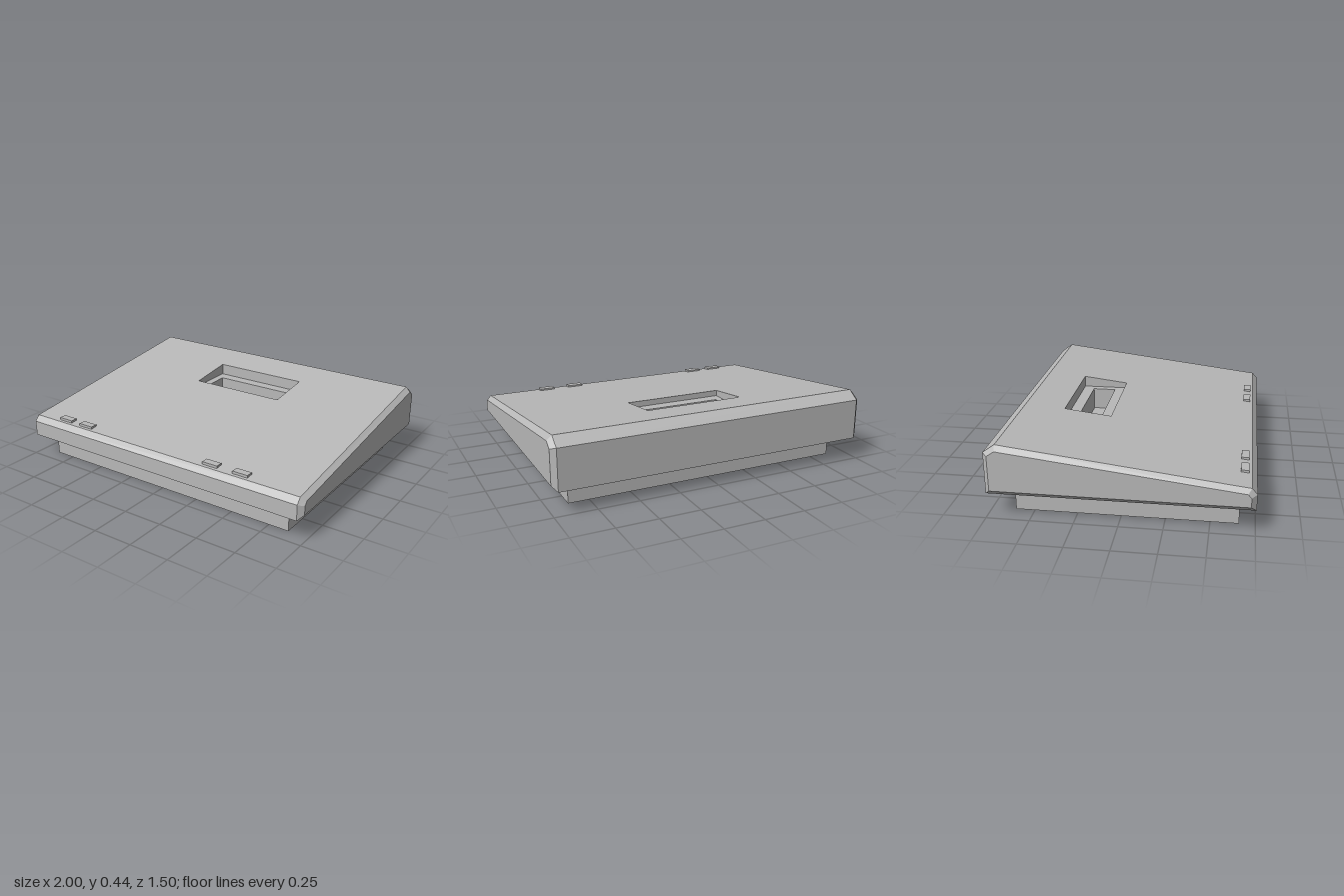
import * as THREE from 'three';

const V = (x, y, z) => new THREE.Vector3(x, y, z);

// Flat-faced skin between equal-sized loops, with optional end caps and skipped faces
function loft(loops, { startCap = false, endCap = false, skip = () => false } = {}) {
  const pos = [];
  const tri = (...pts) => pts.forEach(p => pos.push(p.x, p.y, p.z));
  const n = loops[0].length;
  for (let k = 0; k + 1 < loops.length; k++) {
    const a = loops[k], b = loops[k + 1];
    for (let i = 0; i < n; i++) {
      if (skip(k, i)) continue;
      const j = (i + 1) % n;
      tri(a[i], b[i], b[j], a[i], b[j], a[j]);
    }
  }
  const first = loops[0], last = loops[loops.length - 1];
  for (let i = 1; i + 1 < n; i++) {
    if (startCap) tri(first[0], first[i], first[i + 1]);
    if (endCap) tri(last[0], last[i + 1], last[i]);
  }
  const g = new THREE.BufferGeometry();
  g.setAttribute('position', new THREE.Float32BufferAttribute(pos, 3));
  g.computeVertexNormals();
  return g;
}

// Height of the sloping top at depth z
const topY = z => 0.27 + (0.72 - z) * (0.17 / 1.4);

// Rectangle loop; height may be a number or a function of z
function rectLoop(x, zFront, zBack, y) {
  const h = typeof y === 'function' ? y : () => y;
  return [[-x, zFront], [-x, zBack], [x, zBack], [x, zFront]].map(([px, z]) => V(px, h(z), z));
}

export function createModel() {
  const group = new THREE.Group();
  const grey = new THREE.MeshStandardMaterial({ color: 0xb8b8b8 });
  grey.name = 'grey';
  const add = (name, geometry) => {
    const mesh = new THREE.Mesh(geometry, grey);
    mesh.name = name;
    group.add(mesh);
    return mesh;
  };

  // Wedge housing with bevelled sides; profiles are [z, y]
  const full = [[0.75, 0.14], [0.75, 0.235], [0.72, 0.27], [-0.68, 0.44], [-0.75, 0.39], [-0.75, 0.14]];
  const inset = [[0.72, 0.17], [0.72, 0.225], [0.7, 0.247], [-0.675, 0.411], [-0.72, 0.38], [-0.72, 0.17]];
  const section = (x, profile) => profile.map(([z, y]) => V(x, y, z));
  add('housing', loft(
    [section(-1, inset), section(-0.97, full), section(0.97, full), section(1, inset)],
    { startCap: true, endCap: true, skip: (k, i) => k === 1 && i === 2 }
  ));

  // Sloping top panel with the recess opening
  const panel = new THREE.Shape([[-0.97, -0.72], [0.97, -0.72], [0.97, 0.68], [-0.97, 0.68]]
    .map(p => new THREE.Vector2(...p)));
  panel.holes.push(new THREE.Path([[-0.312, 0.15], [-0.312, 0.44], [0.312, 0.44], [0.312, 0.15]]
    .map(p => new THREE.Vector2(...p))));
  const panelGeometry = new THREE.ShapeGeometry(panel).rotateX(-Math.PI / 2);
  const p = panelGeometry.attributes.position;
  for (let i = 0; i < p.count; i++) p.setY(i, topY(p.getZ(i)));
  panelGeometry.computeVertexNormals();
  add('topPanel', panelGeometry);

  // Stepped recess: outer walls, level ledge, inner walls and floor
  add('recess', loft([
    rectLoop(0.312, -0.15, -0.44, topY),
    rectLoop(0.312, -0.15, -0.44, 0.34),
    rectLoop(0.265, -0.225, -0.37, 0.34),
    rectLoop(0.265, -0.225, -0.37, 0.2),
  ], { endCap: true }));

  // Plinth under the housing
  add('base', new THREE.BoxGeometry(1.75, 0.14, 1.27)).position.set(0, 0.07, 0.025);

  // Small stop tabs along the front edge
  for (const x of [-0.74, -0.57, 0.38, 0.583]) {
    add('stopTab', new THREE.BoxGeometry(0.1, 0.03, 0.045)).position.set(x, 0.273, 0.68);
  }
  return group;
}
